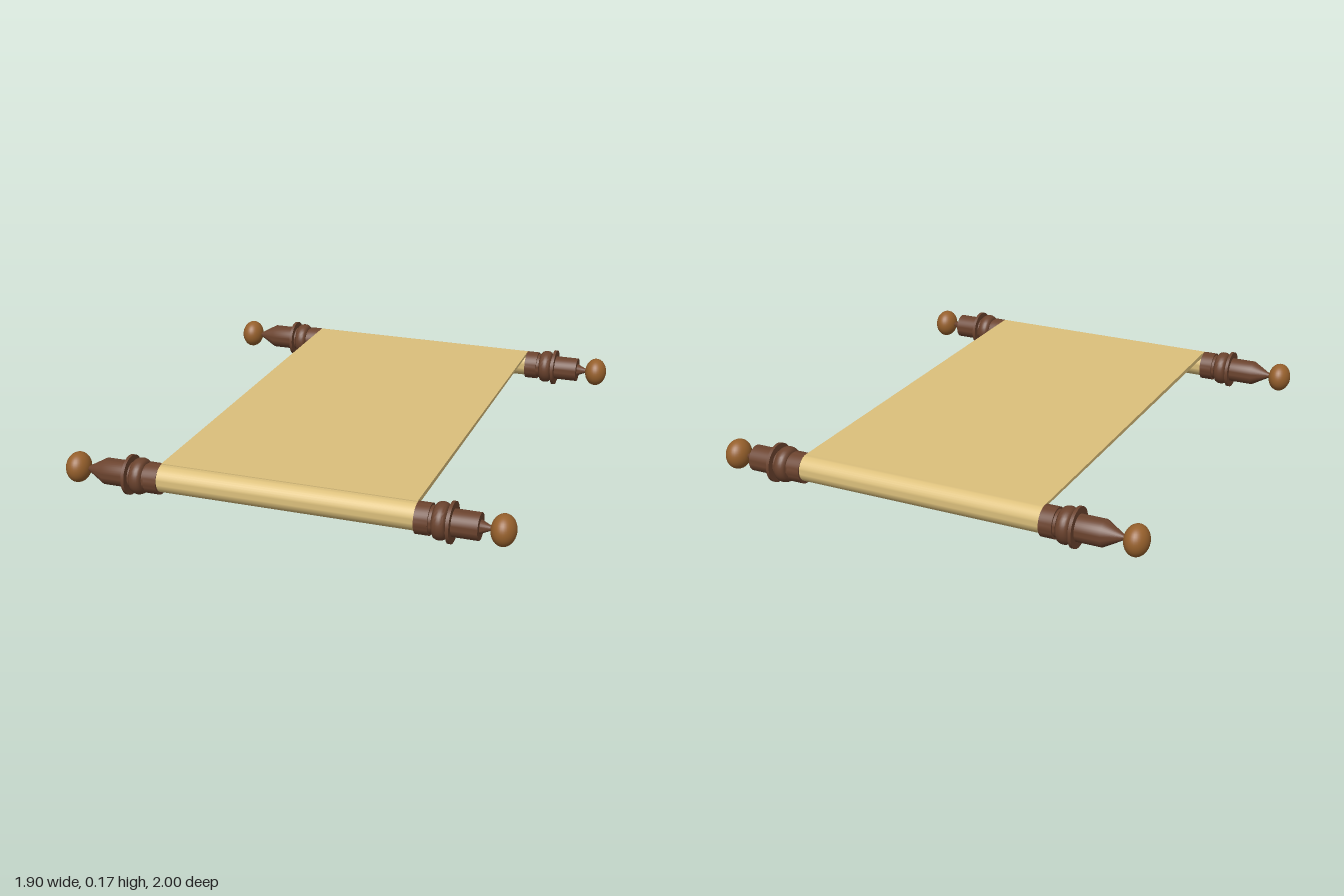
import * as THREE from 'three';
import { toCreasedNormals } from 'three/addons/utils/BufferGeometryUtils.js';

const paper = new THREE.MeshStandardMaterial({ color: 0xdcc07c, side: THREE.DoubleSide });
const darkWood = new THREE.MeshStandardMaterial({ color: 0x6b432e });
const lightWood = new THREE.MeshStandardMaterial({ color: 0x96602c });

const AXIS_Y = 0.083, ROD_Z = 0.918;
const LEFT = 0.56, RIGHT = -0.52; // paper edges in x

// Turned solid along x from [x, radius] pairs with x ascending
function turned(name, profile, material) {
  const pts = profile.map(([x, r]) => new THREE.Vector2(r, x));
  const geo = new THREE.LatheGeometry(pts, 40).rotateZ(-Math.PI / 2);
  const mesh = new THREE.Mesh(toCreasedNormals(geo, 0.6), material);
  mesh.name = name;
  return mesh;
}

// Rounded bead between two x positions, rising from radius low to high
function bead(x0, x1, low, high, n = 8) {
  return Array.from({ length: n + 1 }, (_, i) => [
    x0 + ((x1 - x0) * i) / n,
    low + (high - low) * Math.sqrt(Math.sin((Math.PI * i) / n)),
  ]);
}

// Collar, neck, bead and flange; distances run outward from the paper edge
function handleRings() {
  return [
    [0, 0], [0, 0.064], [0.056, 0.064], [0.056, 0.056], [0.068, 0.056],
    ...bead(0.068, 0.124, 0.058, 0.076),
    [0.124, 0.055], [0.132, 0.055], [0.132, 0.083], [0.145, 0.083], [0.145, 0.055],
  ];
}

// Place an outward profile on one side of the rod
function place(profile, edge, side) {
  const out = profile.map(([d, r]) => [edge + side * d, r]);
  return side > 0 ? out : out.reverse();
}

function buildRod(name, z) {
  const rod = new THREE.Group();
  rod.name = name;
  rod.position.set(0, AXIS_Y, z);

  // Paper wound round the rod
  const roll = turned('paperRoll', [[RIGHT, 0], [RIGHT, 0.058], [LEFT, 0.058], [LEFT, 0]], paper);
  roll.position.y = 0.006;
  rod.add(roll);

  // Left handle ends bluntly, right handle tapers
  const blunt = [...handleRings(), [0.25, 0.055], [0.25, 0.028], [0.29, 0.01], [0.32, 0.01], [0.32, 0]];
  const tapered = [...handleRings(), [0.25, 0.055], [0.33, 0.01], [0.36, 0.01], [0.36, 0]];
  rod.add(turned('leftHandle', place(blunt, LEFT, 1), darkWood));
  rod.add(turned('rightHandle', place(tapered, RIGHT, -1), darkWood));

  // End knobs
  for (const side of [-1, 1]) {
    const knob = new THREE.Mesh(new THREE.SphereGeometry(0.064, 32, 20), lightWood);
    knob.name = side > 0 ? 'leftKnob' : 'rightKnob';
    knob.scale.x = 0.78;
    knob.position.x = side * 0.899;
    rod.add(knob);
  }
  return rod;
}

// Thin sheet stretched between the rolls, slightly thicker toward the front
function buildSheet() {
  const geo = new THREE.BoxGeometry(LEFT - RIGHT, 0.016, 2 * ROD_Z, 1, 1, 8);
  const pos = geo.attributes.position;
  for (let i = 0; i < pos.count; i++) {
    pos.setY(i, pos.getY(i) * (1 + 0.25 * (pos.getZ(i) / ROD_Z)));
  }
  geo.computeVertexNormals();
  const sheet = new THREE.Mesh(geo, paper);
  sheet.name = 'paperSheet';
  sheet.position.set((LEFT + RIGHT) / 2, 0.141, 0);
  return sheet;
}

export function createModel() {
  const scroll = new THREE.Group();
  scroll.name = 'openScroll';
  scroll.add(buildRod('frontRod', ROD_Z), buildRod('backRod', -ROD_Z), buildSheet());
  return scroll;
}
